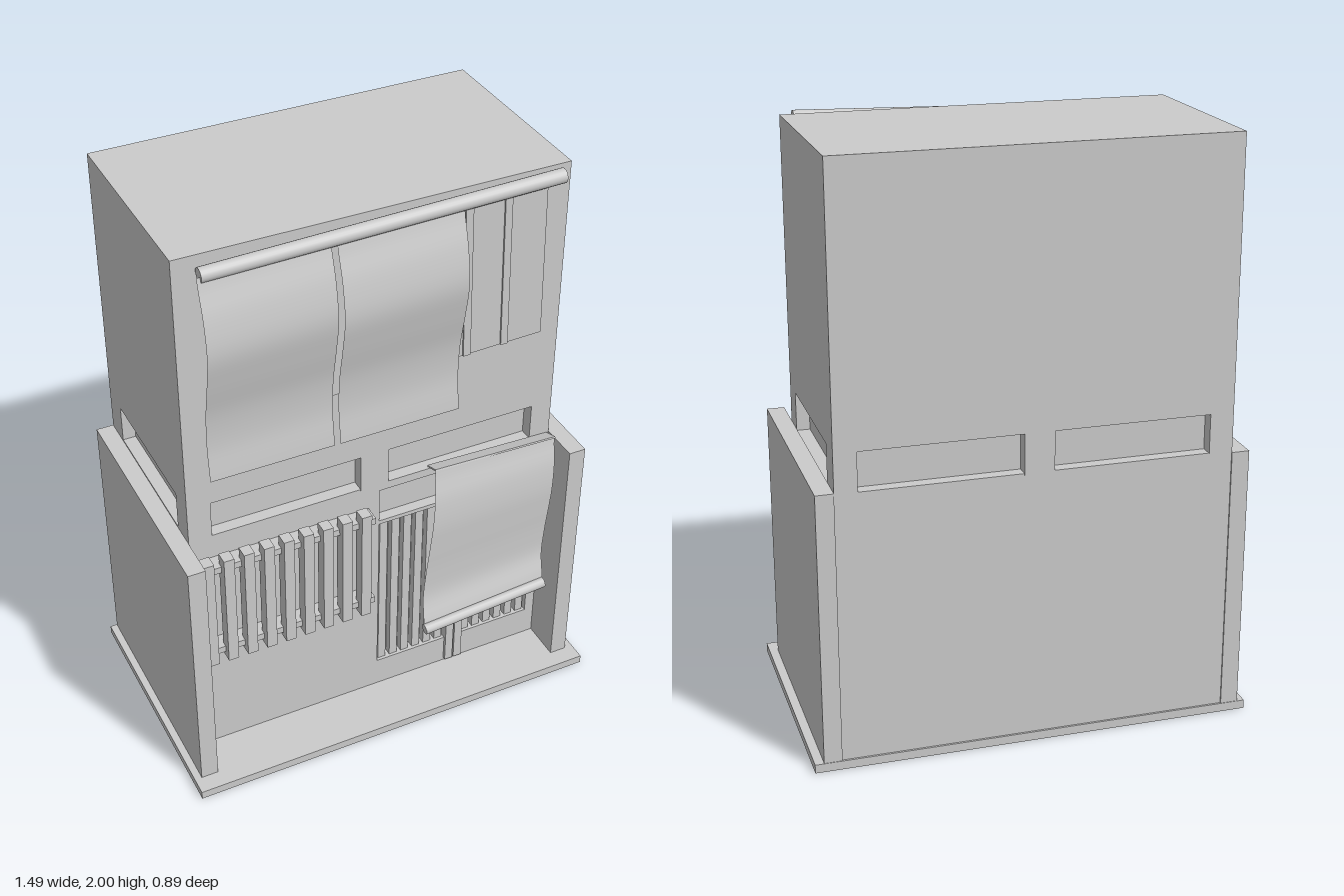
import * as THREE from 'three';

const mat = new THREE.MeshStandardMaterial({ color: 0xcccccc });
const clothMat = new THREE.MeshStandardMaterial({ color: 0xcccccc, side: THREE.DoubleSide });

function add(parent, name, geometry, material = mat) {
  const mesh = new THREE.Mesh(geometry, material);
  mesh.name = name;
  parent.add(mesh);
  return mesh;
}

// Box given by its lower and upper limits on each axis
function box(parent, name, x0, x1, y0, y1, z0, z1) {
  const mesh = add(parent, name, new THREE.BoxGeometry(x1 - x0, y1 - y0, z1 - z0));
  mesh.position.set((x0 + x1) / 2, (y0 + y1) / 2, (z0 + z1) / 2);
  return mesh;
}

// Round bar between two points
function bar(parent, name, a, b, radius, sides) {
  const dir = b.clone().sub(a);
  const mesh = add(parent, name, new THREE.CylinderGeometry(radius, radius, dir.length(), sides));
  mesh.position.copy(a).add(b).multiplyScalar(0.5);
  mesh.quaternion.setFromUnitVectors(new THREE.Vector3(0, 1, 0), dir.normalize());
  return mesh;
}

// Hanging cloth: corners [x, y] and a list of z depths from top to bottom
function cloth(parent, name, tl, tr, bl, br, depths) {
  const curve = new THREE.SplineCurve(depths.map((z, i) => new THREE.Vector2(i, z)));
  const g = new THREE.PlaneGeometry(1, 1, 1, 24);
  const p = g.attributes.position;
  for (let i = 0; i < p.count; i++) {
    const u = p.getX(i) + 0.5;
    const v = 0.5 - p.getY(i);
    const at = (k) => THREE.MathUtils.lerp(
      THREE.MathUtils.lerp(tl[k], tr[k], u), THREE.MathUtils.lerp(bl[k], br[k], u), v);
    p.setXYZ(i, at(0), at(1), curve.getPoint(v).y);
  }
  g.computeVertexNormals();
  return add(parent, name, g, clothMat);
}

function rectPath(Type, x0, x1, y0, y1) {
  return new Type([[x0, y0], [x1, y0], [x1, y1], [x0, y1]].map(([x, y]) => new THREE.Vector2(x, y)));
}

function group(parent, name) {
  const g = new THREE.Group();
  g.name = name;
  parent.add(g);
  return g;
}

export function createModel() {
  const model = new THREE.Group();
  model.name = 'stall';

  // Base slab, hollow underneath with a thin rim
  const base = group(model, 'base');
  box(base, 'basePlate', -0.745, 0.745, 0.015, 0.03, -0.447, 0.447);
  for (const s of [-1, 1]) {
    const x = s * 0.739, z = s * 0.441;
    box(base, 'baseSideRim', x - 0.006, x + 0.006, 0, 0.015, -0.447, 0.447);
    box(base, 'baseEndRim', -0.733, 0.733, 0, 0.015, z - 0.006, z + 0.006);
  }

  // Lower storey with projecting side walls
  const lower = group(model, 'lowerStorey');
  box(lower, 'lowerCore', -0.66, 0.655, 0.03, 0.95, -0.44, 0.205);
  box(lower, 'rightWall', -0.72, -0.66, 0.03, 0.945, -0.445, 0.385);
  box(lower, 'leftWall', 0.655, 0.715, 0.03, 0.955, -0.445, 0.385);
  box(lower, 'frontPanel', -0.66, -0.015, 0.03, 0.95, 0.205, 0.243);

  // Door frame with a transom opening and two door openings
  const frame = rectPath(THREE.Shape, -0.015, 0.655, 0.03, 0.95);
  frame.holes.push(
    rectPath(THREE.Path, 0.015, 0.62, 0.79, 0.92),
    rectPath(THREE.Path, 0.015, 0.285, 0.14, 0.775),
    rectPath(THREE.Path, 0.35, 0.62, 0.14, 0.775));
  const doors = group(model, 'doors');
  add(doors, 'doorFrame', new THREE.ExtrudeGeometry(frame, { depth: 0.038, bevelEnabled: false }))
    .position.z = 0.205;
  for (const x of [0.285, 0.32]) box(doors, 'doorStile', x, x + 0.03, 0.04, 0.775, 0.243, 0.255);
  for (const x0 of [0.015, 0.35]) {
    for (let i = 0; i < 6; i++) {
      const x = x0 + 0.022 + i * 0.045;
      box(doors, 'doorSlat', x - 0.013, x + 0.016, 0.14, 0.775, 0.205, 0.232);
    }
  }

  // Slatted grille on the front panel
  const grille = group(model, 'grille');
  for (let i = 0; i < 9; i++) {
    const x = -0.627 + i * 0.0695;
    box(grille, 'grilleSlat', x - 0.018, x + 0.018, 0.468, 0.9, 0.28, 0.325);
  }
  for (const y of [0.5, 0.848]) box(grille, 'grilleRail', -0.657, -0.026, y - 0.012, y + 0.012, 0.243, 0.3);

  // Upper storey: recessed core, pillars around the slots, solid block above
  const upper = group(model, 'upperStorey');
  box(upper, 'upperBlock', -0.66, 0.655, 1.083, 1.993, -0.443, 0.245);
  box(upper, 'slotCore', -0.615, 0.61, 0.95, 1.083, -0.398, 0.2);
  for (const [z0, z1] of [[-0.443, -0.345], [0.155, 0.245]]) {
    for (const [x0, x1] of [[-0.66, -0.58], [0.58, 0.655]]) {
      box(upper, 'cornerPillar', x0, x1, 0.945, 1.083, z0, z1);
    }
    box(upper, 'middlePillar', -0.055, 0.045, 0.945, 1.083, z0, z1);
  }

  // Slanted curtain rod with hanging boards and two cloth curtains
  const curtains = group(model, 'curtains');
  bar(curtains, 'curtainRod', new THREE.Vector3(-0.588, 1.945, 0.278),
    new THREE.Vector3(0.606, 1.975, 0.284), 0.024, 20);
  const boards = [[-0.56, 0.27, 0.278], [0.27, 0.296, 0.284], [0.296, 0.405, 0.278],
    [0.405, 0.43, 0.284], [0.43, 0.555, 0.278]];
  for (const [x0, x1, z] of boards) {
    const drop = 0.025 * (x0 + x1) / 2;
    box(curtains, 'hangingBoard', x0, x1, 1.405 + drop, 1.945 + drop, z, z + 0.012)
      .rotation.z = 0.025;
  }
  const wave = [0.29, 0.325, 0.342, 0.325, 0.302, 0.297, 0.31];
  for (const x of [-0.6, -0.16]) {
    const w = 0.42;
    cloth(curtains, 'curtain', [x, 1.945], [x + w, 1.957], [x, 1.222], [x + w, 1.222], wave);
  }

  // Cloth over the doors, weighted by a bar along its lower edge
  const awning = group(model, 'doorCloth');
  cloth(awning, 'clothSheet', [0.19, 0.985], [0.645, 0.972], [0.13, 0.362], [0.6, 0.4],
    [0.3, 0.325, 0.336, 0.335, 0.333, 0.338, 0.368]);
  bar(awning, 'clothBar', new THREE.Vector3(0.13, 0.357, 0.374),
    new THREE.Vector3(0.6, 0.392, 0.374), 0.019, 12);
  // Short top fold leading back to the wall
  const fold = box(awning, 'clothFold', 0.19, 0.645, 0.966, 0.972, 0.245, 0.305);
  fold.rotation.set(-0.35, 0, -0.028);

  return model;
}
